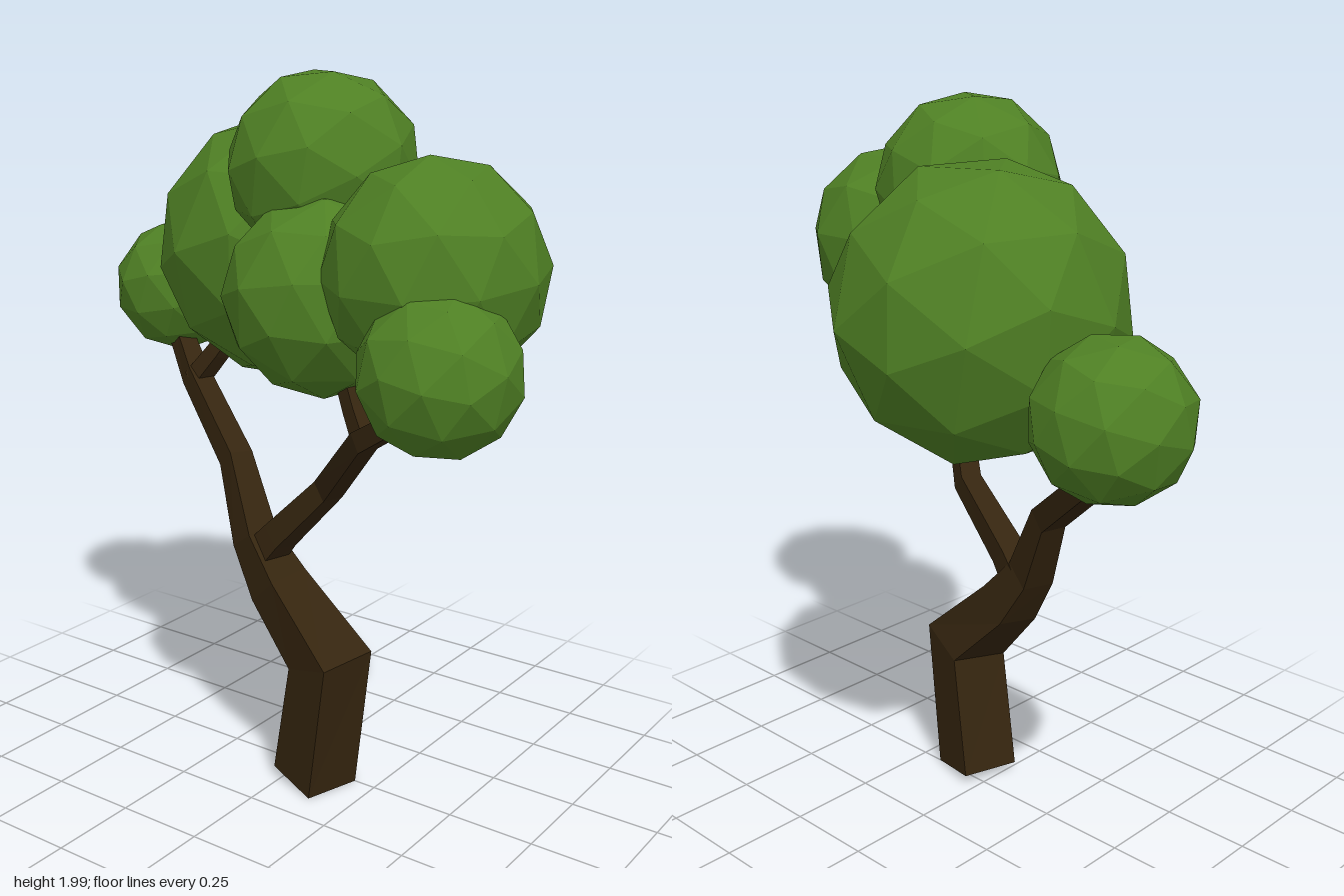
import * as THREE from 'three';

const bark = new THREE.MeshStandardMaterial({ color: 0x35250f });
bark.name = 'dark bark';
const leaf = new THREE.MeshStandardMaterial({ color: 0x4f8024 });
leaf.name = 'leaf green';

// Gives every face its own flat normal
function facet(geometry) {
  const flat = geometry.index ? geometry.toNonIndexed() : geometry;
  flat.computeVertexNormals();
  return flat;
}

// Four-sided limb through stations [x, y, z, side], with closed ends
function limb(name, stations) {
  const points = stations.map(([x, y, z]) => new THREE.Vector3(x, y, z));
  const positions = [], index = [];
  const last = points.length - 1;
  points.forEach((p, i) => {
    const tangent = new THREE.Vector3();
    if (i > 0) tangent.add(p.clone().sub(points[i - 1]).normalize());
    if (i < last) tangent.add(points[i + 1].clone().sub(p).normalize());
    tangent.normalize();
    const across = new THREE.Vector3(0.95, 0, 0.3);
    across.addScaledVector(tangent, -across.dot(tangent)).normalize();
    const back = tangent.clone().cross(across);
    const h = stations[i][3] / 2;
    for (const [a, b] of [[-1, -1], [1, -1], [1, 1], [-1, 1]]) {
      const c = p.clone().addScaledVector(across, a * h).addScaledVector(back, b * h);
      positions.push(c.x, c.y, c.z);
    }
    if (i === last) return;
    for (let k = 0; k < 4; k++) {
      const a = i * 4 + k, b = i * 4 + (k + 1) % 4;
      index.push(a, b, b + 4, a, b + 4, a + 4);
    }
  });
  const e = last * 4;
  index.push(0, 2, 1, 0, 3, 2, e, e + 1, e + 2, e, e + 2, e + 3);
  const geometry = new THREE.BufferGeometry();
  geometry.setAttribute('position', new THREE.Float32BufferAttribute(positions, 3));
  geometry.setIndex(index);
  const mesh = new THREE.Mesh(facet(geometry), bark);
  mesh.name = name;
  return mesh;
}

// Faceted ball of leaves
function foliage(name, x, y, z, radius, turn) {
  const geometry = new THREE.IcosahedronGeometry(radius * 1.01, 1);
  geometry.rotateX(turn).rotateY(turn * 1.7);
  const mesh = new THREE.Mesh(facet(geometry), leaf);
  mesh.name = name;
  mesh.position.set(x, y, z);
  return mesh;
}

export function createModel() {
  const tree = new THREE.Group();
  tree.name = 'tree';

  // Bent trunk running on into the rear limb, and the front limb
  tree.add(
    limb('trunkAndRearLimb', [
      [-0.055, 0.018, 0.08, 0.168], [-0.075, 0.4, 0.145, 0.17],
      [-0.065, 0.58, -0.04, 0.125], [-0.055, 0.7, -0.13, 0.095],
      [-0.005, 0.905, -0.235, 0.072], [0.11, 1.09, -0.475, 0.065],
      [0.2, 1.19, -0.61, 0.055], [0.24, 1.28, -0.65, 0.045],
    ]),
    limb('frontLimb', [
      [-0.06, 0.64, -0.11, 0.09], [-0.07, 0.73, -0.03, 0.075],
      [-0.08, 0.9, 0.14, 0.062], [-0.265, 1.12, 0.375, 0.055],
      [-0.33, 1.22, 0.54, 0.048], [-0.37, 1.3, 0.62, 0.04],
    ]),
    limb('rearTwig', [[0.1, 1.08, -0.47, 0.055], [0.12, 1.17, -0.4, 0.05], [0.16, 1.32, -0.3, 0.045]]),
    limb('frontTwig', [[-0.26, 1.11, 0.38, 0.05], [-0.24, 1.19, 0.33, 0.045], [-0.2, 1.33, 0.25, 0.04]]),
  );

  // Crown
  tree.add(
    foliage('largeFoliage', 0.203, 1.495, -0.182, 0.38, 0.4),
    foliage('topFoliage', -0.05, 1.75, 0.1, 0.25, 0.55),
    foliage('frontFoliage', -0.215, 1.545, 0.535, 0.272, 0.9),
    foliage('lowFrontFoliage', -0.387, 1.35, 0.655, 0.194, 0.2),
    foliage('middleFoliage', -0.19, 1.45, 0.2, 0.255, 1.3),
    foliage('rearFoliage', 0.26, 1.325, -0.655, 0.2, 0.7),
  );
  return tree;
}
